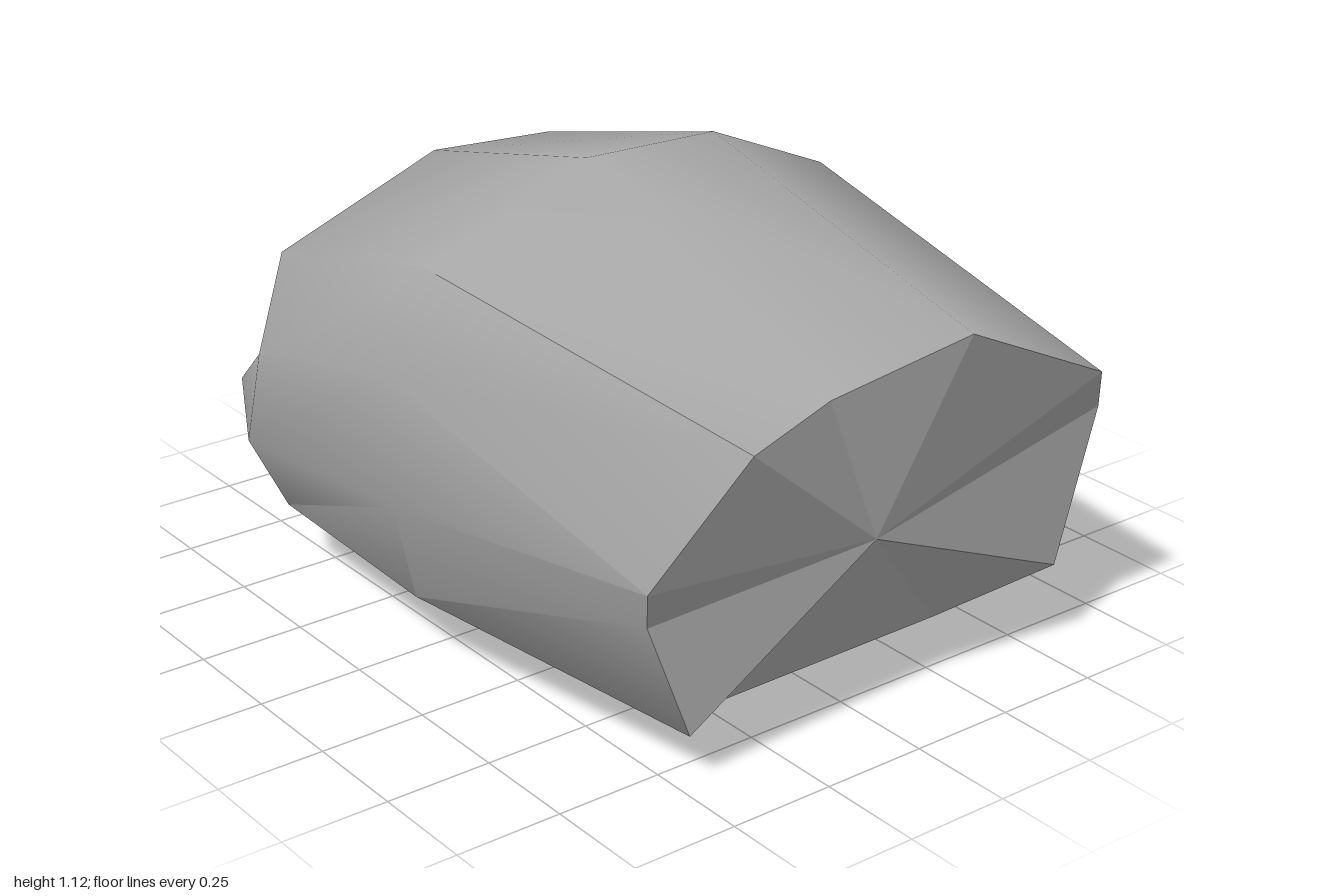
import * as THREE from 'three';
import { toCreasedNormals } from 'three/addons/utils/BufferGeometryUtils.js';

// Cross-sections from the -x end to the +x end; each runs top, front, bottom, back
const RINGS = [
  [[-0.97, 0.48, -0.13], [-0.94, 0.49, -0.04], [-1, 0.41, 0.22], [-0.89, 0.38, 0.43], [-0.94, 0.315, 0.48], [-0.89, 0.21, 0.42],
    [-0.9, 0.2, 0.23], [-0.83, 0.15, 0], [-0.83, 0.157, -0.24], [-1, 0.36, -0.285], [-0.97, 0.43, -0.21]],
  [[-0.48, 0.95, -0.12], [-0.48, 0.97, 0.2], [-0.56, 0.78, 0.57], [-0.53, 0.56, 0.66], [-0.52, 0.36, 0.705], [-0.5, 0.18, 0.62],
    [-0.45, 0.05, 0.27], [-0.45, 0.06, -0.2], [-0.5, 0.2, -0.42], [-0.56, 0.51, -0.53], [-0.5, 0.78, -0.45]],
  [[0.12, 1.105, -0.14], [0.13, 1.12, 0.215], [0.07, 0.94, 0.595], [0.05, 0.705, 0.685], [0.05, 0.4, 0.68], [0.07, 0.18, 0.64],
    [0.02, 0.005, 0.29], [0.03, 0.015, -0.23], [0.05, 0.24, -0.5], [0.05, 0.61, -0.705], [0.08, 0.95, -0.49]],
  [[1, 0.92, -0.1], [0.915, 0.825, 0.2], [0.975, 0.795, 0.445], [0.875, 0.51, 0.625], [0.81, 0.395, 0.575], [0.83, 0.125, 0.48],
    [0.72, 0.1, 0.3], [0.72, 0.105, -0.29], [0.86, 0.22, -0.52], [0.83, 0.555, -0.66], [0.935, 0.7, -0.55]],
];
const N = RINGS[0].length;

function geometryFrom(points, index) {
  const g = new THREE.BufferGeometry();
  g.setAttribute('position', new THREE.Float32BufferAttribute(points.flat(), 3));
  g.setIndex(index);
  return g;
}

// Skin joining neighbouring cross-sections
function skin() {
  const index = [];
  for (let r = 0; r < RINGS.length - 1; r++) {
    for (let i = 0; i < N; i++) {
      const j = (i + 1) % N;
      const a = r * N + i, d = r * N + j, b = a + N, c = d + N;
      index.push(a, d, b, d, c, b);
    }
  }
  return toCreasedNormals(geometryFrom(RINGS.flat(), index), 0.95);
}

// Faceted fan closing one end
function fan(ring, centre, flip) {
  const index = [];
  for (let i = 0; i < N; i++) {
    const j = (i + 1) % N;
    index.push(N, flip ? j : i, flip ? i : j);
  }
  const g = geometryFrom([...ring, centre], index).toNonIndexed();
  g.computeVertexNormals();
  return g;
}

export function createModel() {
  const group = new THREE.Group();
  group.name = 'boulder';
  const stone = new THREE.MeshStandardMaterial({ color: 0xa6a6a6 });
  stone.name = 'grey stone';
  const add = (name, geometry) => {
    const mesh = new THREE.Mesh(geometry, stone);
    mesh.name = name;
    group.add(mesh);
  };
  add('rockBody', skin());
  add('wideBrokenEnd', fan(RINGS[3], [0.9, 0.47, 0.05], false));
  add('narrowBrokenEnd', fan(RINGS[0], [-0.92, 0.33, 0.06], true));
  return group;
}
